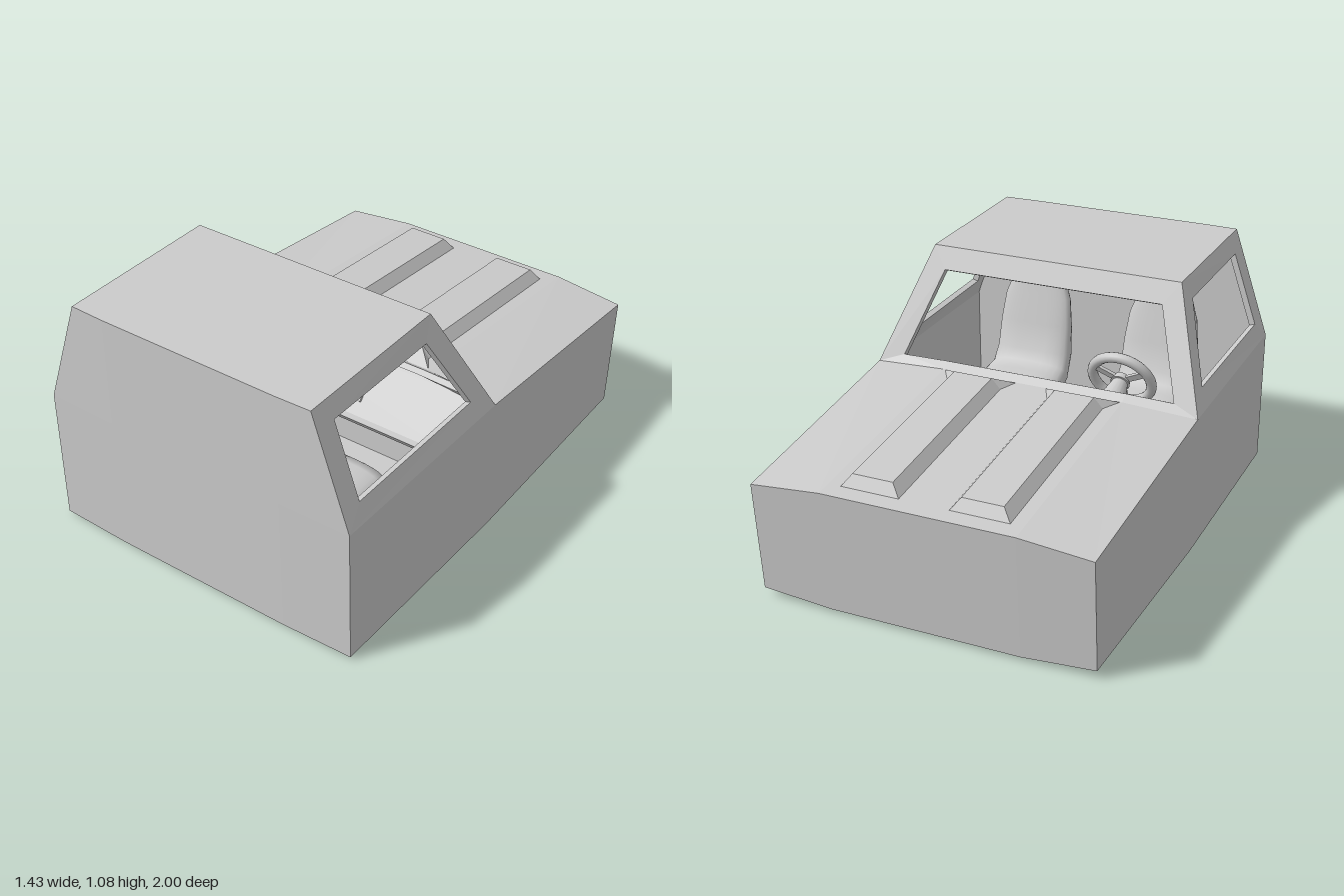
import * as THREE from 'three';

const flat = new THREE.MeshStandardMaterial({ color: 0xcccccc, side: THREE.DoubleSide, flatShading: true });
const smooth = new THREE.MeshStandardMaterial({ color: 0xcccccc });

// Sheet of quads between successive rows of [x, y, z] points
function sheet(name, rows, closed = false) {
  const pos = [];
  for (let r = 0; r + 1 < rows.length; r++) {
    const n = rows[r].length;
    for (let i = 0; i < (closed ? n : n - 1); i++) {
      const j = (i + 1) % n;
      const a = rows[r][i], b = rows[r][j], c = rows[r + 1][j], d = rows[r + 1][i];
      pos.push(...a, ...b, ...c, ...a, ...c, ...d);
    }
  }
  const geo = new THREE.BufferGeometry();
  geo.setAttribute('position', new THREE.Float32BufferAttribute(pos, 3));
  geo.computeVertexNormals();
  const mesh = new THREE.Mesh(geo, flat);
  mesh.name = name;
  return mesh;
}

// Thick window frame: outer outline, opening outline and inward offset
function frame(name, outer, hole, off) {
  const shift = (loop) => loop.map((p) => p.map((v, k) => v + off[k]));
  return sheet(name, [outer, hole, shift(hole), shift(outer)], true);
}

function add(parent, name, geo, mat, x, y, z) {
  const mesh = new THREE.Mesh(geo, mat);
  mesh.name = name;
  mesh.position.set(x, y, z);
  parent.add(mesh);
  return mesh;
}

// One-piece padded seat: rounded sections swept from cushion front to headrest
function makeSeat(x) {
  // z, y, half width, half thickness
  const stations = [
    [0.42, 0.34, 0.1, 0.01], [0.43, 0.345, 0.17, 0.05], [0.48, 0.35, 0.19, 0.07], [0.6, 0.345, 0.19, 0.07],
    [0.7, 0.37, 0.18, 0.07], [0.75, 0.45, 0.175, 0.06], [0.77, 0.58, 0.17, 0.045], [0.79, 0.7, 0.155, 0.038],
    [0.808, 0.78, 0.125, 0.033], [0.815, 0.83, 0.105, 0.034], [0.822, 0.88, 0.105, 0.04],
    [0.822, 0.92, 0.095, 0.036], [0.82, 0.943, 0.06, 0.02], [0.82, 0.95, 0.005, 0.004],
  ];
  const n = 24, pos = [], idx = [];
  stations.forEach(([z, y, w, t], s) => {
    const a = stations[Math.max(s - 1, 0)], b = stations[Math.min(s + 1, stations.length - 1)];
    const len = Math.hypot(b[0] - a[0], b[1] - a[1]);
    const nz = -(b[1] - a[1]) / len, ny = (b[0] - a[0]) / len;
    for (let i = 0; i < n; i++) {
      const q = (i / n) * Math.PI * 2, c = Math.cos(q), d = Math.sin(q);
      const u = Math.sign(c) * Math.abs(c) ** 0.7 * w, v = Math.sign(d) * Math.abs(d) ** 0.7 * t;
      pos.push(x + u, y + ny * v, z + nz * v);
      if (s) {
        const j = (i + 1) % n, p = (s - 1) * n, r = s * n;
        idx.push(p + i, r + j, p + j, p + i, r + i, r + j);
      }
    }
  });
  const geo = new THREE.BufferGeometry();
  geo.setAttribute('position', new THREE.Float32BufferAttribute(pos, 3));
  geo.setIndex(idx);
  geo.computeVertexNormals();
  const mesh = new THREE.Mesh(geo, new THREE.MeshStandardMaterial({ color: 0xcccccc, side: THREE.DoubleSide }));
  mesh.name = 'seat';
  return mesh;
}

export function createModel() {
  const g = new THREE.Group();
  g.name = 'pickupCab';
  // Mirrored cross row: edge, inner, inner, edge
  const row = (xe, ye, ze, yi, zi) => [[-xe, ye, ze], [-0.4, yi, zi], [0.4, yi, zi], [xe, ye, ze]];
  const rearBottom = row(0.71, 0.012, 0.99, 0.005, 0.995);
  const midBottom = row(0.71, 0.003, 0.04, 0, 0.04);
  const noseBottom = row(0.7, 0.035, -0.955, 0.015, -0.96);
  const noseTop = row(0.7, 0.51, -0.995, 0.54, -1);
  const cowl = row(0.715, 0.6, 0.045, 0.622, 0.03);
  const rearBelt = row(0.71, 0.6, 0.995, 0.6, 1);
  const rearTop = row(0.55, 1.07, 0.995, 1.07, 1);
  const roofFront = row(0.55, 1.075, 0.27, 1.075, 0.27);

  // Body skin
  g.add(sheet('underside', [rearBottom, midBottom, noseBottom]));
  g.add(sheet('nosePanel', [noseBottom, noseTop]));
  g.add(sheet('hood', [noseTop, cowl]));
  g.add(sheet('rearPanel', [rearTop, rearBelt, rearBottom]));
  g.add(sheet('roof', [roofFront, rearTop]));

  // Windshield frame
  g.add(frame('windshieldFrame',
    [...cowl, roofFront[3], roofFront[0]],
    [[-0.605, 0.64, 0.068], [-0.4, 0.645, 0.066], [0.4, 0.645, 0.066], [0.605, 0.64, 0.068],
      [0.485, 0.985, 0.228], [-0.485, 0.985, 0.228]],
    [0, -0.012, 0.025]));

  for (const s of [1, -1]) {
    const e = s > 0 ? 3 : 0;
    g.add(sheet('sidePanel', [[rearBottom[e], midBottom[e], noseBottom[e]], [rearBelt[e], cowl[e], noseTop[e]]]));

    // Side window frame
    const hole = [[0.9, 0.68], [0.18, 0.68], [0.335, 0.99], [0.9, 0.99]]
      .map(([z, y]) => [s * (0.712 - (y - 0.6) * 0.345), y, z]);
    g.add(frame('sideWindowFrame', [rearBelt[e], cowl[e], roofFront[e], rearTop[e]], hole, [-s * 0.025, -0.008, 0]));

    // Raised hood rib with a flared rear end
    const hoodY = (z) => 0.618 + (z - 0.04) * 0.079;
    const base = [[0.06, 0.035], [0.4, 0.035], [0.35, -0.045], [0.35, -0.93], [0.1, -0.93], [0.1, -0.045]]
      .map(([x, z]) => [s * x, hoodY(z), z]);
    const top = [[0.14, -0.05], [0.31, -0.05], [0.31, -0.05], [0.31, -0.9], [0.14, -0.9], [0.14, -0.05]]
      .map(([x, z]) => [s * x, hoodY(z) + 0.05, z]);
    g.add(sheet('hoodRibSides', [base, top], true));
    g.add(sheet('hoodRibTop', [[top[0], top[1]], [top[4], top[3]]]));

    g.add(makeSeat(s * 0.3));
    add(g, 'seatBase', new THREE.BoxGeometry(0.28, 0.18, 0.26), flat, s * 0.3, 0.21, 0.6);
  }

  // Cabin lining
  const ring = (y, x, z0, z1) => [[-x, y, z0], [x, y, z0], [x, y, z1], [-x, y, z1]];
  const floor = ring(0.14, 0.68, 0.07, 0.965);
  g.add(sheet('cabinWalls', [floor, ring(0.6, 0.685, 0.07, 0.965)], true));
  g.add(sheet('cabinFloor', [[floor[0], floor[1]], [floor[3], floor[2]]]));
  g.add(sheet('cabinBackWall', [[[-0.685, 0.6, 0.965], [0.685, 0.6, 0.965]], [[-0.53, 1.045, 0.965], [0.53, 1.045, 0.965]]]));
  g.add(sheet('headliner', [[[-0.53, 1.045, 0.285], [0.53, 1.045, 0.285]], [[-0.53, 1.045, 0.965], [0.53, 1.045, 0.965]]]));

  // Dashboard
  const dashProfile = [[0.61, 0.05], [0.6, 0.07], [0.42, 0.22], [0.4, 0.23], [0.37, 0.21], [0.34, 0.07]];
  g.add(sheet('dashboard', dashProfile.map(([y, z]) => [[-0.68, y, z], [0.68, y, z]])));
  const panel = new THREE.Group();
  panel.name = 'instruments';
  panel.position.set(0, 0.51, 0.145);
  panel.rotation.x = -0.69;
  for (const x of [-0.52, -0.09]) {
    add(panel, 'gaugeRing', new THREE.TorusGeometry(0.036, 0.006, 8, 24), smooth, x, 0.01, 0.004);
    add(panel, 'gaugeFace', new THREE.CircleGeometry(0.036, 24), smooth, x, 0.01, 0.004);
  }
  add(panel, 'radio', new THREE.BoxGeometry(0.18, 0.12, 0.016), flat, 0.087, 0, 0.004);
  add(panel, 'radioDisplay', new THREE.BoxGeometry(0.11, 0.035, 0.012), flat, 0.075, 0.028, 0.012);
  for (let i = 0; i < 3; i++) {
    add(panel, 'radioButton', new THREE.BoxGeometry(0.032, 0.03, 0.016), flat, 0.04 + i * 0.046, -0.03, 0.014);
  }
  g.add(panel);

  // Steering wheel and column
  const wheel = new THREE.Group();
  wheel.name = 'steeringWheel';
  wheel.position.set(-0.3, 0.6, 0.29);
  wheel.rotation.x = -0.45;
  add(wheel, 'rim', new THREE.TorusGeometry(0.13, 0.022, 12, 36), smooth, 0, 0, 0);
  add(wheel, 'hub', new THREE.CylinderGeometry(0.035, 0.042, 0.03, 20), smooth, 0, 0, -0.01).rotation.x = Math.PI / 2;
  for (let i = 0; i < 3; i++) {
    const a = -Math.PI / 2 + (i * Math.PI * 2) / 3;
    add(wheel, 'spoke', new THREE.BoxGeometry(0.11, 0.028, 0.014), flat, Math.cos(a) * 0.075, Math.sin(a) * 0.075, -0.008)
      .rotation.z = a;
  }
  add(wheel, 'column', new THREE.CylinderGeometry(0.032, 0.072, 0.16, 20), smooth, 0, 0, -0.1).rotation.x = Math.PI / 2;
  g.add(wheel);
  return g;
}
